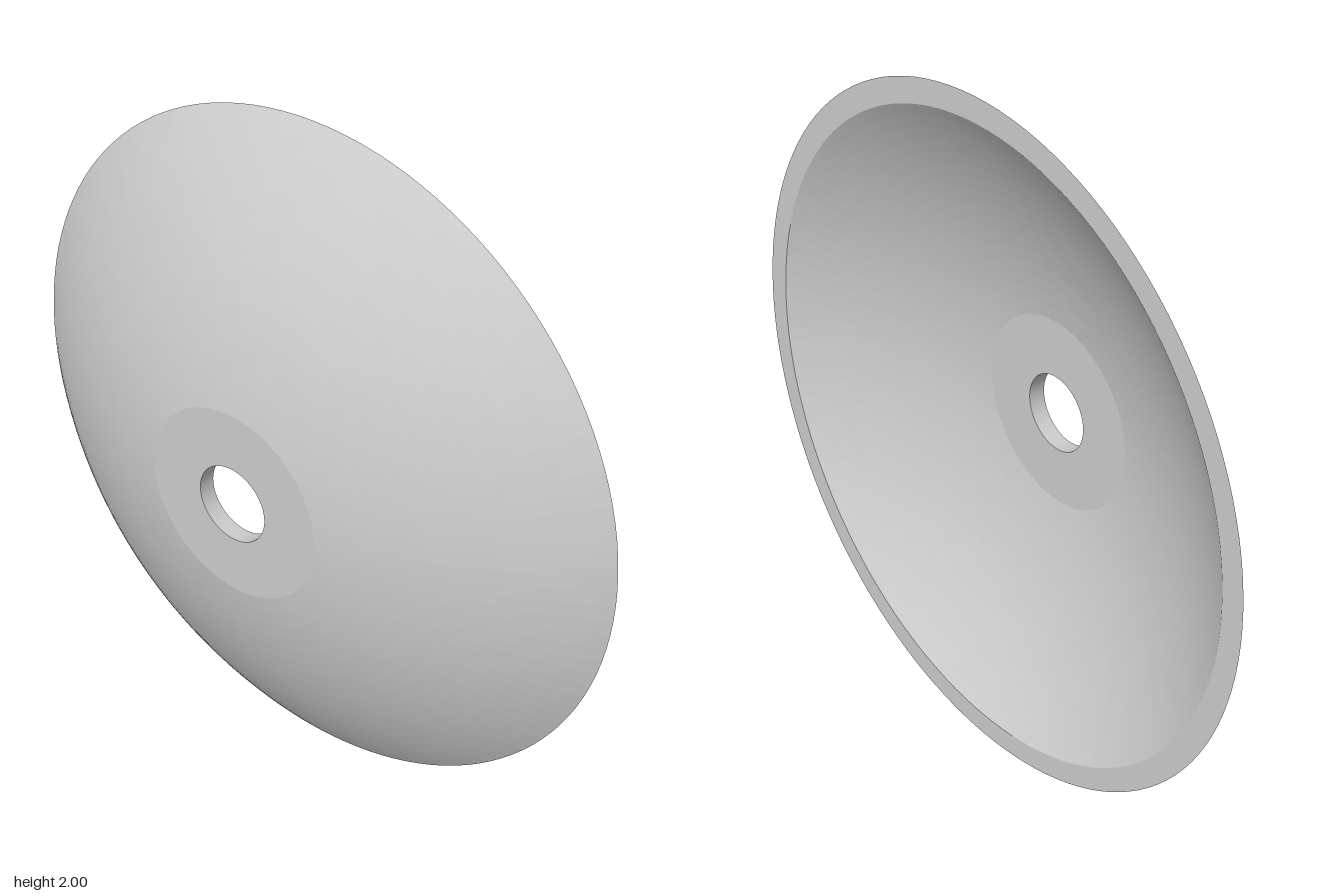
import * as THREE from 'three';

const HALF_DEPTH = 0.157;   // half of the depth along z
const WALL = 0.051;         // wall thickness measured along the axis
const HOLE_R = 0.114;
const FLAT_R = 0.284;       // radius of the flat hub
const RIM_R = 1;
const RINGS = 16;
const SIDES = 128;

// Spherical curve through the hub edge and the rim
const centre = -(RIM_R ** 2 - FLAT_R ** 2) / (4 * HALF_DEPTH);
const radius = Math.hypot(RIM_R, HALF_DEPTH + centre);

// Points from radius r0 to r1 at equal angles, shifted along the axis
function arc(r0, r1, shift) {
  const a0 = Math.asin(r0 / radius);
  const a1 = Math.asin(r1 / radius);
  return Array.from({ length: RINGS + 1 }, (_, i) => {
    const a = a0 + (a1 - a0) * i / RINGS;
    return new THREE.Vector2(radius * Math.sin(a), centre + radius * Math.cos(a) + shift);
  });
}

export function createModel() {
  const group = new THREE.Group();
  group.name = 'dishedDisc';

  // Closed section: domed front, flat hub, hole wall, hollow back, flat rim
  const innerRim = Math.sqrt(radius ** 2 - (WALL - HALF_DEPTH - centre) ** 2);
  const profile = [
    ...arc(RIM_R, FLAT_R, 0),
    new THREE.Vector2(HOLE_R, HALF_DEPTH),
    new THREE.Vector2(HOLE_R, HALF_DEPTH - WALL),
    ...arc(FLAT_R, innerRim, -WALL),
    new THREE.Vector2(RIM_R, -HALF_DEPTH),
  ];

  // Turn the lathe axis to face the front
  const geometry = new THREE.LatheGeometry(profile, SIDES);
  geometry.rotateX(Math.PI / 2);
  geometry.translate(0, 1, 0);

  const material = new THREE.MeshStandardMaterial({ color: 0xcccccc, flatShading: true });
  const disc = new THREE.Mesh(geometry, material);
  disc.name = 'disc';
  group.add(disc);
  return group;
}
